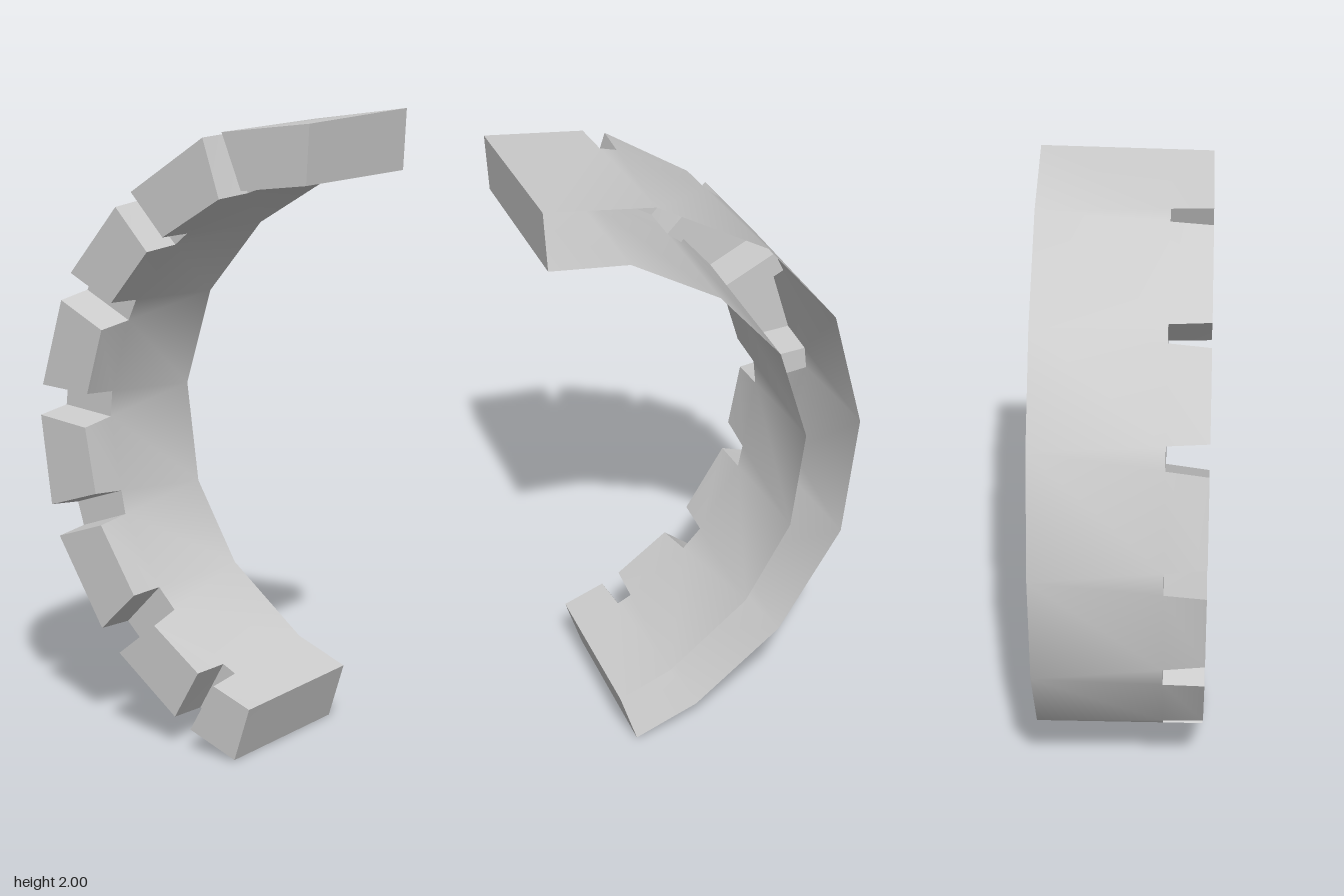
import * as THREE from 'three';
import { toCreasedNormals } from 'three/addons/utils/BufferGeometryUtils.js';

const BACK = -0.27, FLOOR = 0.14, FRONT = 0.27;

// Front outline, top to bottom: an end, both sides of each notch, the other end
const outerFront = [
  [0.51, 1.99], [0.20, 1.95], [0.13, 1.93], [-0.14, 1.75], [-0.20, 1.70], [-0.38, 1.48],
  [-0.42, 1.39], [-0.50, 1.11], [-0.51, 1.01], [-0.47, 0.72], [-0.44, 0.62], [-0.27, 0.34],
  [-0.20, 0.27], [0.02, 0.10], [0.08, 0.07], [0.25, 0.005]];
const innerFront = [
  [0.50, 1.81], [0.27, 1.78], [0.19, 1.75], [-0.02, 1.62], [-0.08, 1.57], [-0.22, 1.40],
  [-0.26, 1.31], [-0.32, 1.10], [-0.33, 0.99], [-0.29, 0.78], [-0.27, 0.68], [-0.14, 0.47],
  [-0.06, 0.385], [0.11, 0.26], [0.17, 0.23], [0.305, 0.18]];

// Back outline: an end, one corner per notch, the other end
const outerBack = [[0.51, 2], [0.17, 1.95], [-0.18, 1.745], [-0.41, 1.46], [-0.51, 1.06],
  [-0.46, 0.65], [-0.25, 0.31], [0.04, 0.08], [0.25, 0]];
const innerBack = [[0.50, 1.81], [0.25, 1.78], [-0.03, 1.61], [-0.23, 1.37], [-0.325, 1.05],
  [-0.28, 0.72], [-0.13, 0.46], [0.13, 0.25], [0.305, 0.18]];

// Point on the lofted wall at station i and depth z
function pointOn(front, back) {
  return (i, z) => {
    const b = back[Math.ceil(i / 2)], f = front[i];
    const t = (z - BACK) / (FRONT - BACK);
    return [b[0] + (f[0] - b[0]) * t, b[1] + (f[1] - b[1]) * t, z];
  };
}

export function createModel() {
  const group = new THREE.Group();
  group.name = 'notchedArch';
  const material = new THREE.MeshStandardMaterial({ color: 0xcccccc, side: THREE.DoubleSide });
  const O = pointOn(outerFront, outerBack), I = pointOn(innerFront, innerBack);
  const last = outerFront.length - 1;

  const quad = (list, a, b, c, d) => list.push(...a, ...b, ...c, ...a, ...c, ...d);
  const addMesh = (name, list, crease) => {
    const g = new THREE.BufferGeometry();
    g.setAttribute('position', new THREE.Float32BufferAttribute(list, 3));
    const mesh = new THREE.Mesh(toCreasedNormals(g, crease), material);
    mesh.name = name;
    group.add(mesh);
  };

  // Curved shells, reaching the front only between the notches
  const shell = (P, flip) => {
    const list = [];
    for (let i = 0; i < last; i++) {
      const depths = i % 2 ? [BACK, FLOOR] : [BACK, FLOOR, FRONT];
      for (let k = 0; k + 1 < depths.length; k++) {
        const c = [P(i, depths[k]), P(i + 1, depths[k]), P(i + 1, depths[k + 1]), P(i, depths[k + 1])];
        quad(list, ...(flip ? c.reverse() : c));
      }
    }
    return list;
  };
  addMesh('outerShell', shell(O, false), 0.7);
  addMesh('innerShell', shell(I, true), 0.7);

  // Front faces of the teeth and floors of the notches
  const teeth = [], floors = [];
  for (let i = 0; i < last; i++) {
    const z = i % 2 ? FLOOR : FRONT;
    quad(i % 2 ? floors : teeth, O(i, z), O(i + 1, z), I(i + 1, z), I(i, z));
  }
  addMesh('toothFronts', teeth, 0.2);
  addMesh('notchFloors', floors, 0.2);

  // Notch sides and full-depth end caps; the back stays open
  const sides = [], ends = [];
  for (let i = 0; i <= last; i++) {
    const isEnd = i === 0 || i === last;
    const z = isEnd ? BACK : FLOOR;
    const c = [O(i, z), O(i, FRONT), I(i, FRONT), I(i, z)];
    quad(isEnd ? ends : sides, ...(i % 2 ? c.reverse() : c));
  }
  addMesh('notchSides', sides, 0.2);
  addMesh('endCaps', ends, 0.2);

  return group;
}
